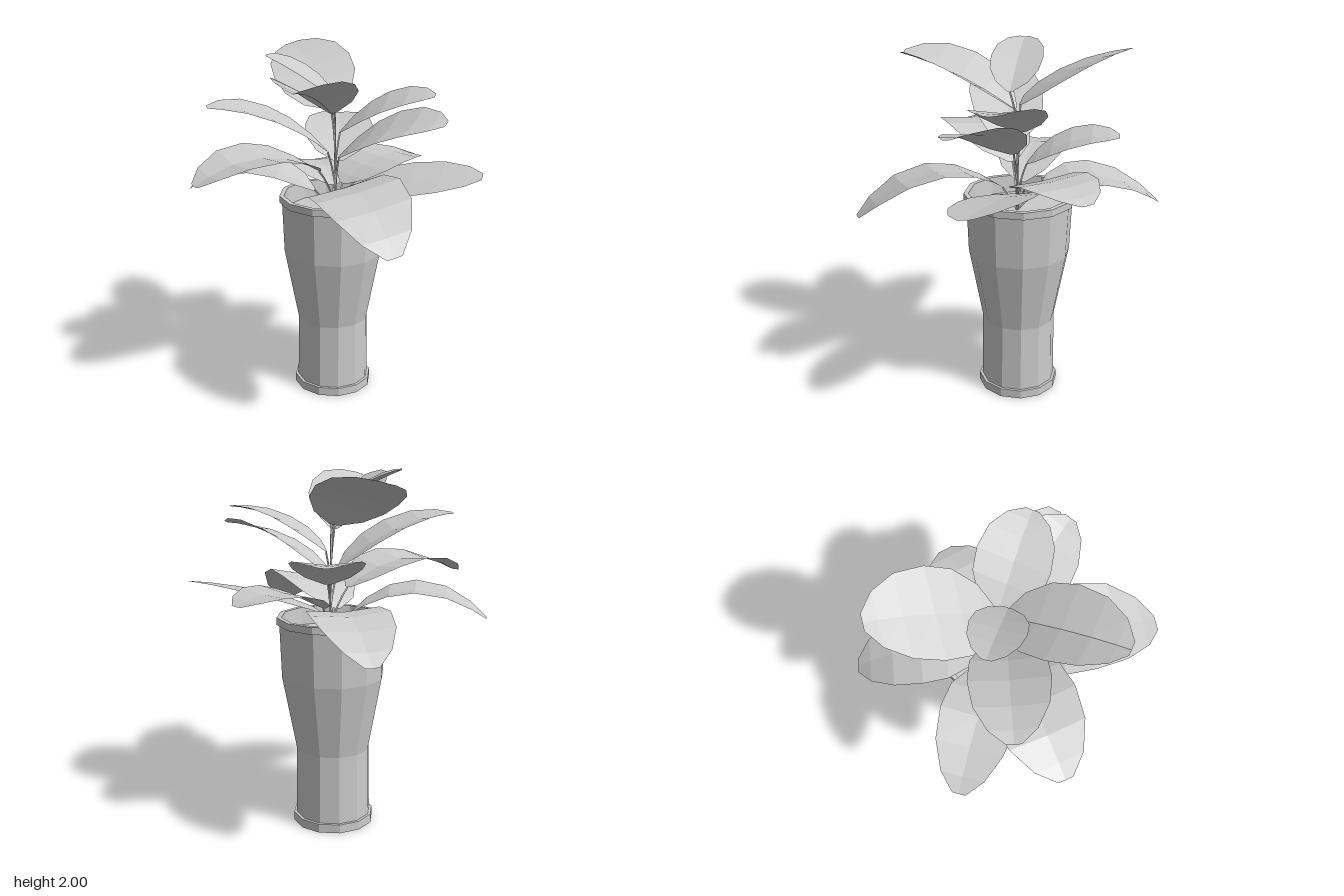
import * as THREE from 'three';

const AXIS_X = -0.065, AXIS_Z = -0.115;
const grey = new THREE.MeshStandardMaterial({ color: 0xcccccc, flatShading: true });
const thin = new THREE.MeshStandardMaterial({ color: 0xcccccc, flatShading: true, side: THREE.DoubleSide });

function part(parent, name, geometry, material = grey) {
  const mesh = new THREE.Mesh(geometry, material);
  mesh.name = name;
  parent.add(mesh);
  return mesh;
}

// Half widths along a blade as [position, fraction of the widest part]
const OUTLINE = [[0, 0.12], [0.1, 0.62], [0.27, 0.93], [0.47, 1], [0.7, 0.89], [0.89, 0.58], [1, 0.18]];

// A blade: arched midrib with raised edges (fold); lift tilts it sideways
function bladeGeometry(base, tip, midY, halfWidth, lift, fold) {
  const mid = base.clone().add(tip).multiplyScalar(0.5);
  const control = mid.clone().setY(2 * midY - mid.y);
  const rib = new THREE.QuadraticBezierCurve3(base, control, tip);
  const side = new THREE.Vector3(base.z - tip.z, 0, tip.x - base.x).normalize();
  const positions = [], index = [];
  OUTLINE.forEach(([t, f], i) => {
    const p = rib.getPoint(t), w = halfWidth * f;
    for (const s of [-1, 0, 1]) {
      positions.push(p.x + side.x * w * s, p.y + f * (lift * s + fold * Math.abs(s)), p.z + side.z * w * s);
    }
    if (i === 0) return;
    const a = (i - 1) * 3, b = i * 3;
    index.push(a, a + 1, b, a + 1, b + 1, b);
    index.push(a + 1, a + 2, b + 2, a + 1, b + 2, b + 1);
  });
  const g = new THREE.BufferGeometry();
  g.setAttribute('position', new THREE.Float32BufferAttribute(positions, 3));
  g.setIndex(index);
  g.computeVertexNormals();
  return g;
}

// Leaves, low to high: base x y z, tip x y z, middle height, half width, lift, fold
const LEAVES = [
  [0.0, 1.22, -0.04, 0.785, 1.14, 0.18, 1.35, 0.24, -0.04, 0.01],
  [-0.02, 1.22, -0.17, 0.6, 1.36, -0.63, 1.31, 0.21, -0.04, 0.01],
  [-0.06, 1.25, -0.18, -0.05, 1.33, -0.74, 1.37, 0.22, 0, 0.01],
  [-0.15, 1.22, -0.18, -0.78, 1.11, -0.46, 1.28, 0.215, 0, 0.02],
  [-0.13, 1.22, -0.03, -0.66, 1.2, 0.48, 1.35, 0.205, 0, 0.02],
  [-0.08, 1.35, -0.02, -0.17, 1.38, 0.735, 1.48, 0.235, 0, 0.03],
  [-0.08, 1.38, -0.16, -0.46, 1.55, -0.48, 1.52, 0.2, 0, 0.02],
  [-0.02, 1.43, -0.12, 0.54, 1.68, -0.39, 1.62, 0.19, -0.05, 0.02],
  [-0.05, 1.46, -0.06, -0.35, 1.74, 0.53, 1.67, 0.21, 0, 0.03],
  [-0.05, 1.56, -0.15, 0.36, 1.79, -0.48, 1.73, 0.2, -0.02, 0.02],
  [-0.05, 1.67, -0.09, 0.335, 1.92, 0.46, 1.83, 0.215, 0, 0.09],
  [-0.07, 1.7, -0.11, -0.69, 1.965, -0.29, 1.88, 0.23, 0.06, 0.01],
  [-0.02, 1.77, -0.08, -0.29, 1.99, 0.18, 1.9, 0.145, 0, 0.03],
];

export function createModel() {
  const model = new THREE.Group();
  model.name = 'pottedPlant';

  // Faceted pot with foot, waist, rim and hollow top
  const profile = [
    [0, 0], [0.228, 0], [0.228, 0.05], [0.212, 0.05], [0.207, 0.44], [0.286, 0.86],
    [0.297, 1.16], [0.312, 1.16], [0.312, 1.2], [0.285, 1.2], [0.275, 1.08],
  ].map(([r, y]) => new THREE.Vector2(r, y));
  const pot = part(model, 'pot', new THREE.LatheGeometry(profile, 12));
  pot.position.set(AXIS_X, 0, AXIS_Z);

  const soil = part(model, 'soil', new THREE.CircleGeometry(0.28, 12));
  soil.rotation.x = -Math.PI / 2;
  soil.position.set(AXIS_X, 1.1, AXIS_Z);

  // Main stem
  const stem = part(model, 'stem', new THREE.CylinderGeometry(0.004, 0.01, 0.56, 5));
  stem.position.set(-0.05, 1.37, -0.115);

  // Leaves, each with a short stalk running into its blade
  LEAVES.forEach(([bx, by, bz, tx, ty, tz, ...shape]) => {
    const leaf = new THREE.Group();
    leaf.name = 'leaf';
    const base = new THREE.Vector3(bx, by, bz);
    part(leaf, 'blade', bladeGeometry(base, new THREE.Vector3(tx, ty, tz), ...shape), thin);
    const root = new THREE.Vector3(-0.05, Math.max(1.1, by - 0.2), -0.115);
    const bend = new THREE.Vector3((root.x + bx) / 2, by - 0.06, (root.z + bz) / 2);
    const stalk = new THREE.QuadraticBezierCurve3(root, bend, base);
    part(leaf, 'stalk', new THREE.TubeGeometry(stalk, 4, 0.006, 4));
    model.add(leaf);
  });
  return model;
}
